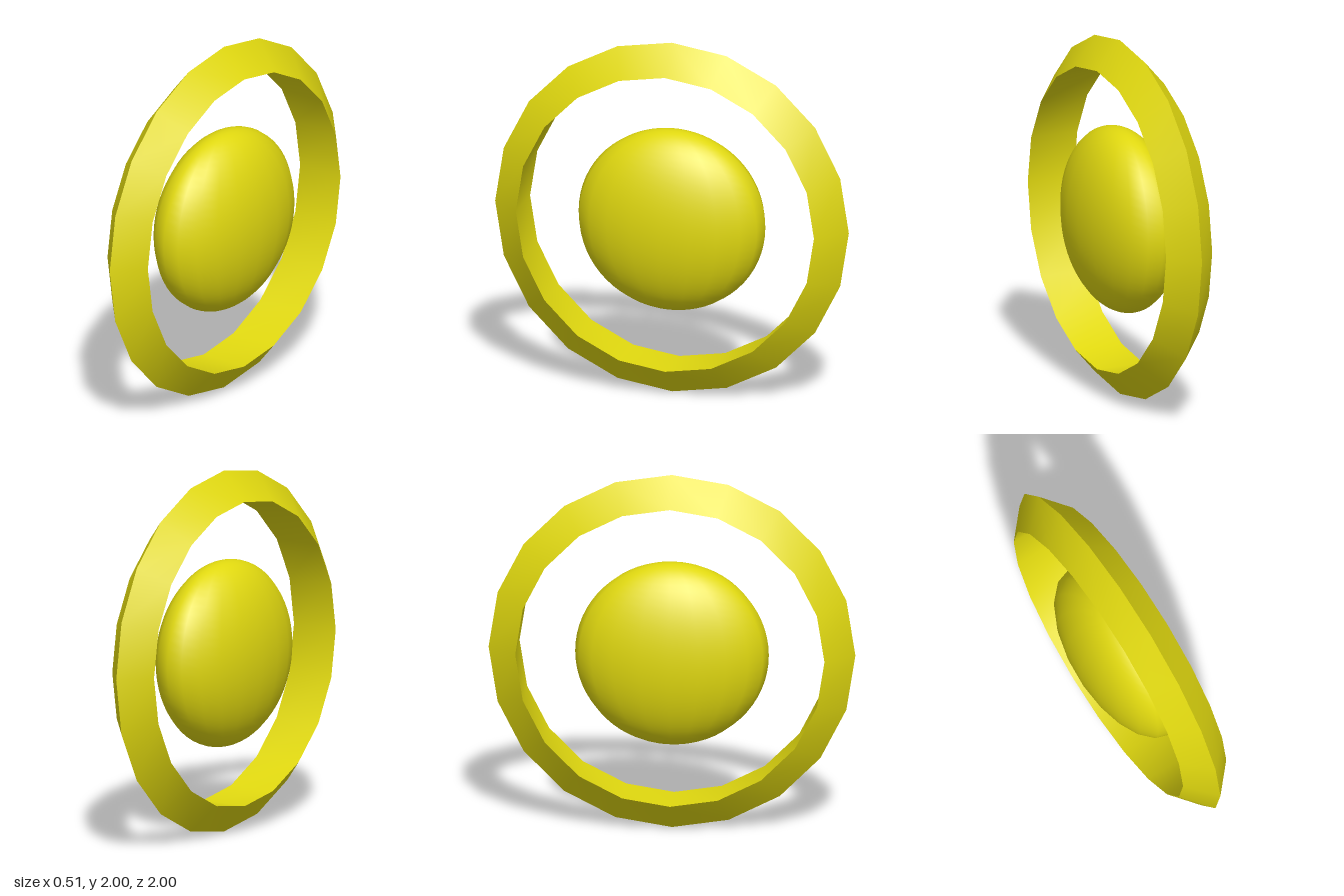
import * as THREE from 'three';
import { toCreasedNormals } from 'three/addons/utils/BufferGeometryUtils.js';

export function createModel() {
  const group = new THREE.Group();
  const yellow = new THREE.MeshStandardMaterial({ color: 0xe0d80f });

  // Ring: triangular section, sharp outer rim, turned about the x axis
  const section = [[0.843, -0.14], [1, 0], [0.843, 0.14], [0.843, -0.14]]
    .map(([r, h]) => new THREE.Vector2(r, h));
  const ringGeometry = toCreasedNormals(new THREE.LatheGeometry(section, 20), 0.6);
  ringGeometry.rotateZ(Math.PI / 2);
  const ring = new THREE.Mesh(ringGeometry, yellow);
  ring.name = 'outerRing';
  ring.position.y = 1;
  group.add(ring);

  // Flattened ball floating in the middle, poles up and down
  const core = new THREE.Mesh(new THREE.SphereGeometry(1, 20, 32), yellow);
  core.name = 'flattenedCore';
  core.scale.set(0.255, 0.514, 0.528);
  core.position.y = 0.989;
  group.add(core);

  return group;
}
